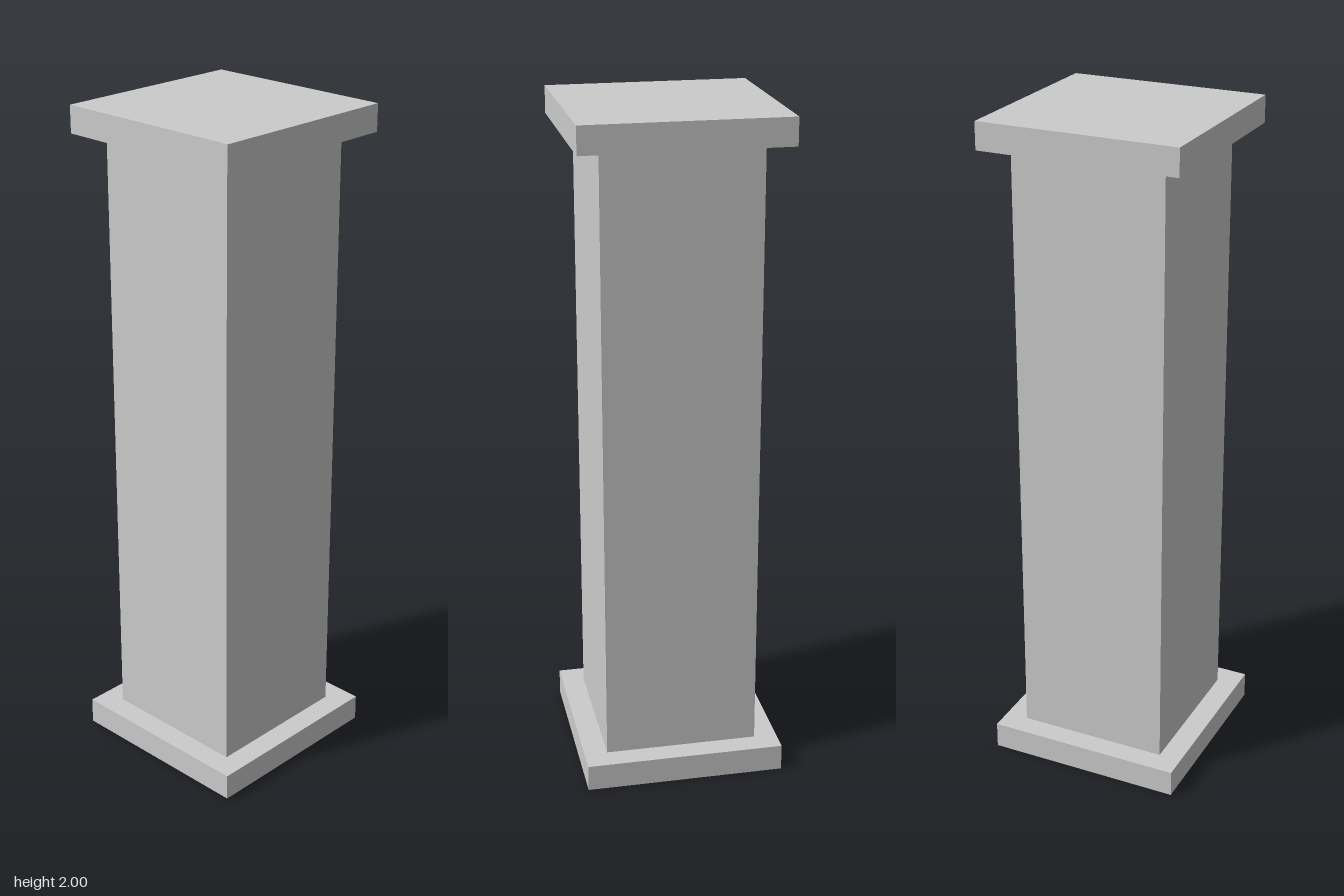
import * as THREE from 'three';

const HEIGHT = 2;
const SLAB_WIDTH = 0.596;
const SLAB_HEIGHT = 0.08;
const SHAFT_WIDTH = 0.458;

export function createModel() {
  const pillar = new THREE.Group();
  pillar.name = 'pillar';
  const material = new THREE.MeshStandardMaterial({ color: 0xcccccc });

  // Square block standing on height y
  function addBlock(name, width, height, y) {
    const mesh = new THREE.Mesh(new THREE.BoxGeometry(width, height, width), material);
    mesh.name = name;
    mesh.position.y = y + height / 2;
    pillar.add(mesh);
  }

  addBlock('base', SLAB_WIDTH, SLAB_HEIGHT, 0);
  addBlock('shaft', SHAFT_WIDTH, HEIGHT - 2 * SLAB_HEIGHT, SLAB_HEIGHT);
  addBlock('capital', SLAB_WIDTH, SLAB_HEIGHT, HEIGHT - SLAB_HEIGHT);

  return pillar;
}
